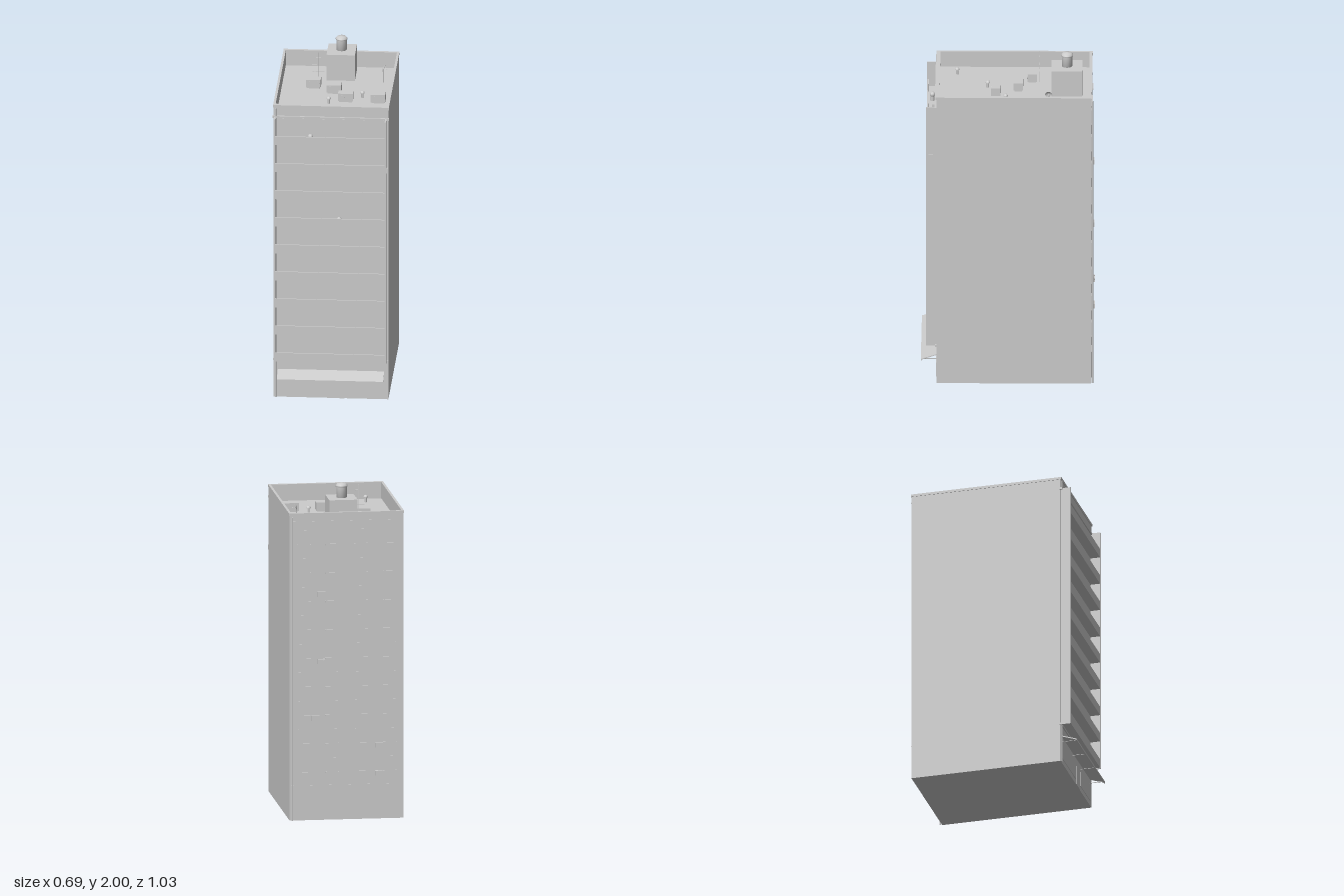
import * as THREE from 'three';

const concrete = new THREE.MeshStandardMaterial({ color: 0xcccccc, side: THREE.DoubleSide });
concrete.name = 'concrete grey';

export function createModel() {
  const model = new THREE.Group();
  model.name = 'apartmentBlock';

  const add = (name, geometry, x = 0, y = 0, z = 0, parent = model) => {
    const mesh = new THREE.Mesh(geometry, concrete);
    mesh.name = name;
    mesh.position.set(x, y, z);
    parent.add(mesh);
    return mesh;
  };
  // Box given by its limits on each axis
  const box = (name, x0, x1, y0, y1, z0, z1, parent) =>
    add(name, new THREE.BoxGeometry(x1 - x0, y1 - y0, z1 - z0),
      (x0 + x1) / 2, (y0 + y1) / 2, (z0 + z1) / 2, parent);
  const rod = (name, r, x, y0, y1, z, parent, sides = 8) =>
    add(name, new THREE.CylinderGeometry(r, r, y1 - y0, sides), x, (y0 + y1) / 2, z, parent);
  const group = (name) => {
    const g = new THREE.Group();
    g.name = name;
    model.add(g);
    return g;
  };

  // Main block with a sunken roof
  const roofY = 1.75;
  box('body', -0.34, 0.34, 0, roofY, -0.495, 0.42);
  const parapet = group('parapet');
  for (const s of [-1, 1]) box('parapetSide', s * 0.335 - 0.005, s * 0.335 + 0.005, roofY, 1.835, -0.495, 0.42, parapet);
  box('parapetBack', -0.33, 0.33, roofY, 1.835, -0.495, -0.485, parapet);
  box('parapetFront', -0.33, 0.33, roofY, 1.835, 0.405, 0.42, parapet);

  // Coping ring on top of the parapet
  for (const s of [-1, 1]) box('copingSide', s * 0.336 - 0.007, s * 0.336 + 0.007, 1.835, 1.85, -0.498, 0.425, parapet);
  box('copingBack', -0.33, 0.33, 1.835, 1.85, -0.498, -0.48, parapet);
  box('copingFront', -0.33, 0.33, 1.835, 1.85, 0.402, 0.425, parapet);

  // Front ledges above and below the balconies
  box('upperLedge', -0.346, 0.343, 1.77, 1.782, 0.415, 0.43);
  box('lowerLedge', -0.342, 0.34, 0.235, 0.247, 0.415, 0.428);

  // Balconies: slabs, railing bands and wall panes
  const balconies = group('balconies');
  box('balconyEndRight', -0.335, -0.327, 0.24, 1.78, 0.42, 0.481, balconies);
  box('balconyEndLeft', 0.322, 0.33, 0.24, 1.78, 0.42, 0.481, balconies);
  const paneEdges = [-0.315, -0.24, -0.155, 0.02, 0.19, 0.315];
  for (let i = 0; i < 9; i++) {
    const y = 0.245 + i * 0.1715;
    box('balconySlab', -0.327, 0.322, y, y + 0.008, 0.42, 0.476, balconies);
    box('balconyRailing', -0.327, 0.322, y, y + 0.055, 0.471, 0.479, balconies);
    for (let k = 0; k < 5; k++)
      box('balconyPane', paneEdges[k] + 0.003, paneEdges[k + 1] - 0.003, y + 0.008, y + 0.15, 0.42, 0.423, balconies);
  }
  // Small things kept on the balconies
  add('plant', new THREE.IcosahedronGeometry(0.016, 1), -0.12, 1.665, 0.447, balconies);
  rod('plantPot', 0.011, -0.12, 1.625, 1.655, 0.447, balconies);
  box('balconyCrate', -0.053, -0.008, 1.625, 1.65, 0.434, 0.449, balconies);
  add('plant', new THREE.IcosahedronGeometry(0.014, 1), 0.05, 1.145, 0.447, balconies);
  box('wallUnit', 0.328, 0.337, 1.45, 1.478, 0.44, 0.465, balconies);

  // Entrance canopy: sloping wedge shell and ground floor panels
  const profile = new THREE.Shape([[0.42, 0.176], [0.512, 0.145], [0.512, 0.135], [0.505, 0.135], [0.505, 0.141], [0.42, 0.17]]
    .map(([z, y]) => new THREE.Vector2(-z, y)));
  const canopy = add('canopy', new THREE.ExtrudeGeometry(profile, { depth: 0.63, bevelEnabled: false }), -0.315);
  canopy.rotation.y = Math.PI / 2;
  for (const x of [-0.3, -0.1, 0.1, 0.3]) {
    const stay = rod('canopyStay', 0.002, x, 0, 0.085, 0.463);
    stay.position.y = 0.141;
    stay.rotation.x = Math.PI / 2;
  }
  box('shopFrontRight', -0.31, -0.01, 0.03, 0.12, 0.42, 0.423);
  box('entranceDoor', 0, 0.08, 0, 0.12, 0.42, 0.423);
  box('shopFrontLeft', 0.09, 0.31, 0.03, 0.12, 0.42, 0.423);

  // Rain pipes
  rod('frontRainPipe', 0.004, -0.328, 0, 1.83, 0.425);
  rod('backRainPipe', 0.005, 0.325, 0, 1.825, -0.503);

  // Back windows with sills
  const back = group('backWindows');
  for (let i = 0; i < 9; i++) {
    const y = 0.29 + i * 0.1715;
    for (const x of [-0.258, -0.085, 0.087, 0.253]) {
      box('backWindow', x - 0.035, x + 0.035, y, y + 0.085, -0.497, -0.495, back);
      box('backSill', x - 0.041, x + 0.041, y - 0.008, y, -0.502, -0.495, back);
    }
  }
  box('backUpperBand', -0.34, 0.34, 1.795, 1.8, -0.497, -0.495, back);
  box('backLowerBand', -0.34, 0.34, 0.205, 0.21, -0.497, -0.495, back);

  // Air conditioners on the back wall
  const coolers = group('airConditioners');
  for (const [x, y] of [[0.15, 1.36], [0.15, 0.955], [0.187, 0.615], [-0.192, 0.445], [-0.192, 0.275]]) {
    box('airConditioner', x - 0.023, x + 0.023, y - 0.015, y + 0.015, -0.512, -0.495, coolers);
    const fan = rod('airConditionerFan', 0.01, x - 0.006, 0, 0.002, -0.5125, coolers, 12);
    fan.position.y = y;
    fan.rotation.x = Math.PI / 2;
  }

  // Lift house and water tank
  const liftHouse = group('liftHouse');
  box('liftHouseBody', -0.073, 0.095, roofY, 1.912, -0.44, -0.257, liftHouse);
  const tank = [[0, 1.9], [0.031, 1.9], [0.031, 1.975], [0.035, 1.978], [0.035, 1.985], [0.026, 1.995], [0, 2]];
  add('waterTank', new THREE.LatheGeometry(tank.map(([r, y]) => new THREE.Vector2(r, y)), 20), 0.01, 0, -0.35, liftHouse);

  // Roof cooling units: plinth, case and two fans
  const units = group('roofUnits');
  for (const [x, z] of [[-0.142, -0.142], [-0.015, -0.062], [0.063, 0.07], [0.255, 0.076]]) {
    box('unitPlinth', x - 0.038, x + 0.038, roofY, roofY + 0.008, z - 0.022, z + 0.022, units);
    box('unitCase', x - 0.044, x + 0.044, roofY + 0.008, roofY + 0.055, z - 0.028, z + 0.028, units);
    for (const s of [-1, 1]) {
      const fan = rod('unitFan', 0.015, x + s * 0.021, 0, 0.002, z + 0.0285, units, 12);
      fan.position.y = roofY + 0.032;
      fan.rotation.x = Math.PI / 2;
    }
  }

  // Roof vents with round caps
  const vents = group('roofVents');
  for (const [x, z] of [[0.158, 0.012], [-0.034, 0.119], [-0.223, 0.302]]) {
    rod('ventPipe', 0.007, x, roofY, 1.782, z, vents);
    add('ventCap', new THREE.SphereGeometry(0.014, 12, 6, 0, Math.PI * 2, 0, Math.PI / 2), x, 1.78, z, vents);
  }

  // Aerial mast with crossbars
  const aerial = group('aerial');
  rod('aerialMast', 0.0015, -0.115, roofY, 1.952, -0.187, aerial);
  box('aerialUpperBar', -0.136, -0.094, 1.919, 1.922, -0.188, -0.186, aerial);
  box('aerialLowerBar', -0.157, -0.073, 1.874, 1.877, -0.188, -0.186, aerial);
  box('aerialMiddleBar', -0.15, -0.08, 1.83, 1.833, -0.188, -0.186, aerial);

  // Satellite dish
  const dish = group('satelliteDish');
  rod('dishPole', 0.003, 0.265, roofY, 1.84, -0.245, dish);
  const bowl = add('dishBowl', new THREE.SphereGeometry(0.034, 16, 6, 0, Math.PI * 2, 0, Math.PI / 4.5), 0, -0.034, 0, dish);
  const head = new THREE.Group();
  head.name = 'dishHead';
  head.add(bowl);
  rod('dishArm', 0.0015, 0, -0.03, 0, 0, head);
  head.position.set(0.262, 1.842, -0.245);
  head.rotation.set(-0.35, 0, 1.25);
  dish.add(head);

  return model;
}
